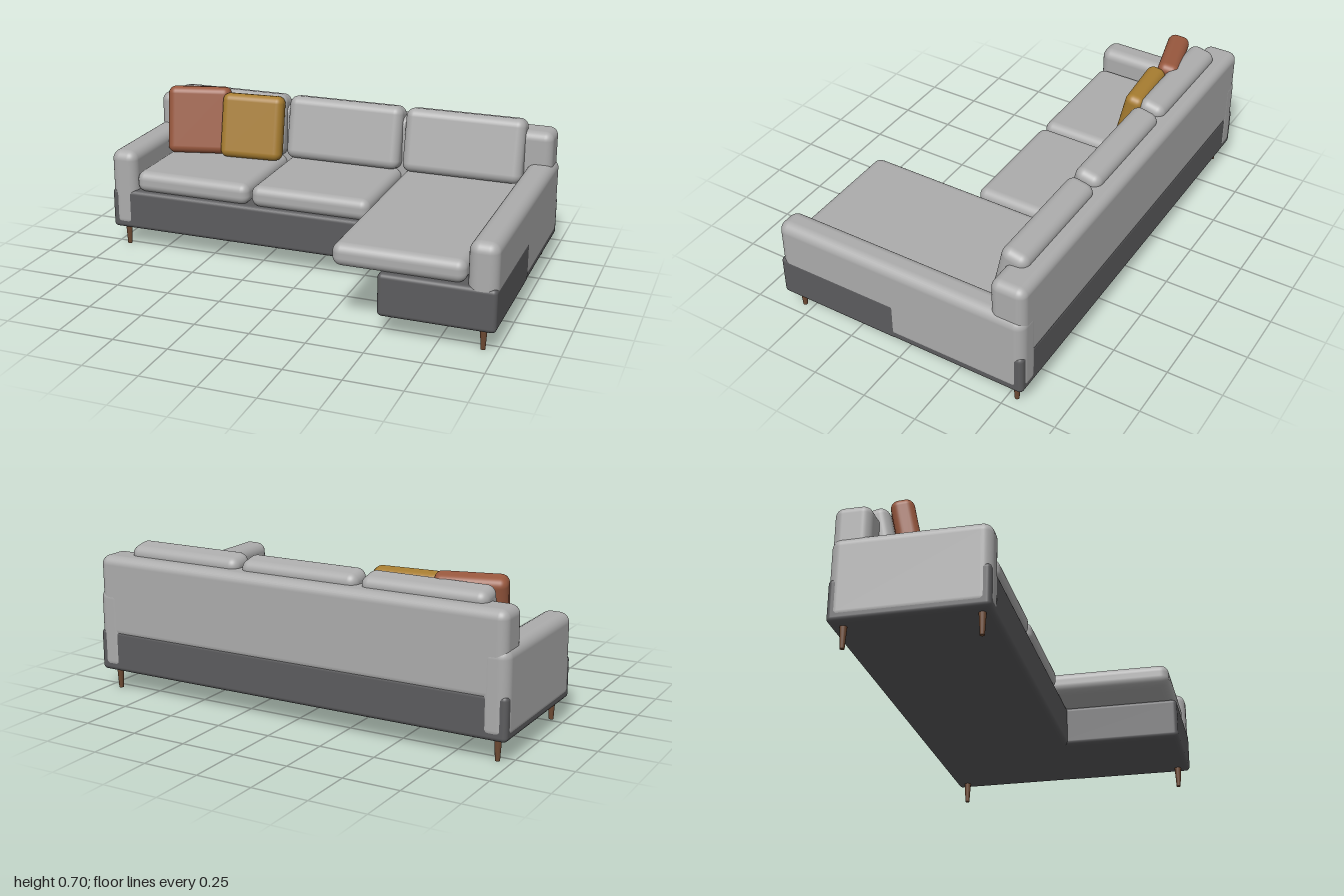
import * as THREE from 'three';
import { RoundedBoxGeometry } from 'three/addons/geometries/RoundedBoxGeometry.js';

function material(name, color) {
  const m = new THREE.MeshStandardMaterial({ color });
  m.name = name;
  return m;
}

export function createModel() {
  const sofa = new THREE.Group();
  sofa.name = 'cornerSofa';
  const fabric = material('lightGreyFabric', 0xacacac);
  const dark = material('darkGreyFabric', 0x5c5c5e);
  const rust = material('rustFabric', 0x98583e);
  const mustard = material('mustardFabric', 0xa67c30);
  const wood = material('walnutWood', 0x6e4a33);

  // Rounded block given by its lower and upper limits
  function block(name, mat, [x0, y0, z0], [x1, y1, z1], radius) {
    const geo = new RoundedBoxGeometry(x1 - x0, y1 - y0, z1 - z0, 4, radius);
    const mesh = new THREE.Mesh(geo, mat);
    mesh.name = name;
    mesh.position.set((x0 + x1) / 2, (y0 + y1) / 2, (z0 + z1) / 2);
    sofa.add(mesh);
  }

  // Upright cushion, leaning back and turned about the vertical
  function cushion(name, mat, size, position, radius, turn = 0) {
    const mesh = new THREE.Mesh(new RoundedBoxGeometry(...size, 5, radius), mat);
    mesh.name = name;
    mesh.position.set(...position);
    mesh.rotation.set(-0.21, turn, 0, 'YXZ');
    sofa.add(mesh);
  }

  // Plinths: the chaise plinth stands a hair proud of the arm, the arms a hair proud of the main one
  block('mainBase', dark, [-0.998, 0.095, -0.596], [0.998, 0.285, 0.07], 0.02);
  block('chaiseBase', dark, [0.5, 0.095, 0.01], [1, 0.285, 0.598], 0.02);

  // Arms and backrest
  block('rightArm', fabric, [-0.9995, 0.096, -0.598], [-0.872, 0.475, 0.072], 0.045);
  block('leftArm', fabric, [0.872, 0.096, -0.598], [0.999, 0.475, 0.5965], 0.045);
  block('backrest', fabric, [-0.987, 0.25, -0.597], [0.987, 0.625, -0.438], 0.04);

  // Seat cushions with the long chaise seat last, each with a back cushion
  [-0.587, -0.004, 0.58].forEach((x, i) => {
    const front = i === 2 ? 0.587 : 0.066;
    block('seatCushion', fabric, [x - 0.285, 0.281, -0.46], [x + 0.285, 0.382, front], 0.04);
    cushion('backCushion', fabric, [0.566, 0.3, 0.125], [x, 0.528, -0.446], 0.04);
  });

  // Throw pillows
  cushion('rustPillow', rust, [0.305, 0.325, 0.1], [-0.728, 0.538, -0.352], 0.035, 0.26);
  cushion('mustardPillow', mustard, [0.305, 0.31, 0.09], [-0.448, 0.532, -0.352], 0.035, 0.08);

  // Tapered legs
  const legGeo = new THREE.CylinderGeometry(0.016, 0.01, 0.1, 16);
  for (const [x, z] of [[-0.94, -0.54], [0.94, -0.54], [-0.94, 0.024], [0.94, 0.543]]) {
    const leg = new THREE.Mesh(legGeo, wood);
    leg.name = 'leg';
    leg.position.set(x, 0.05, z);
    sofa.add(leg);
  }
  return sofa;
}
